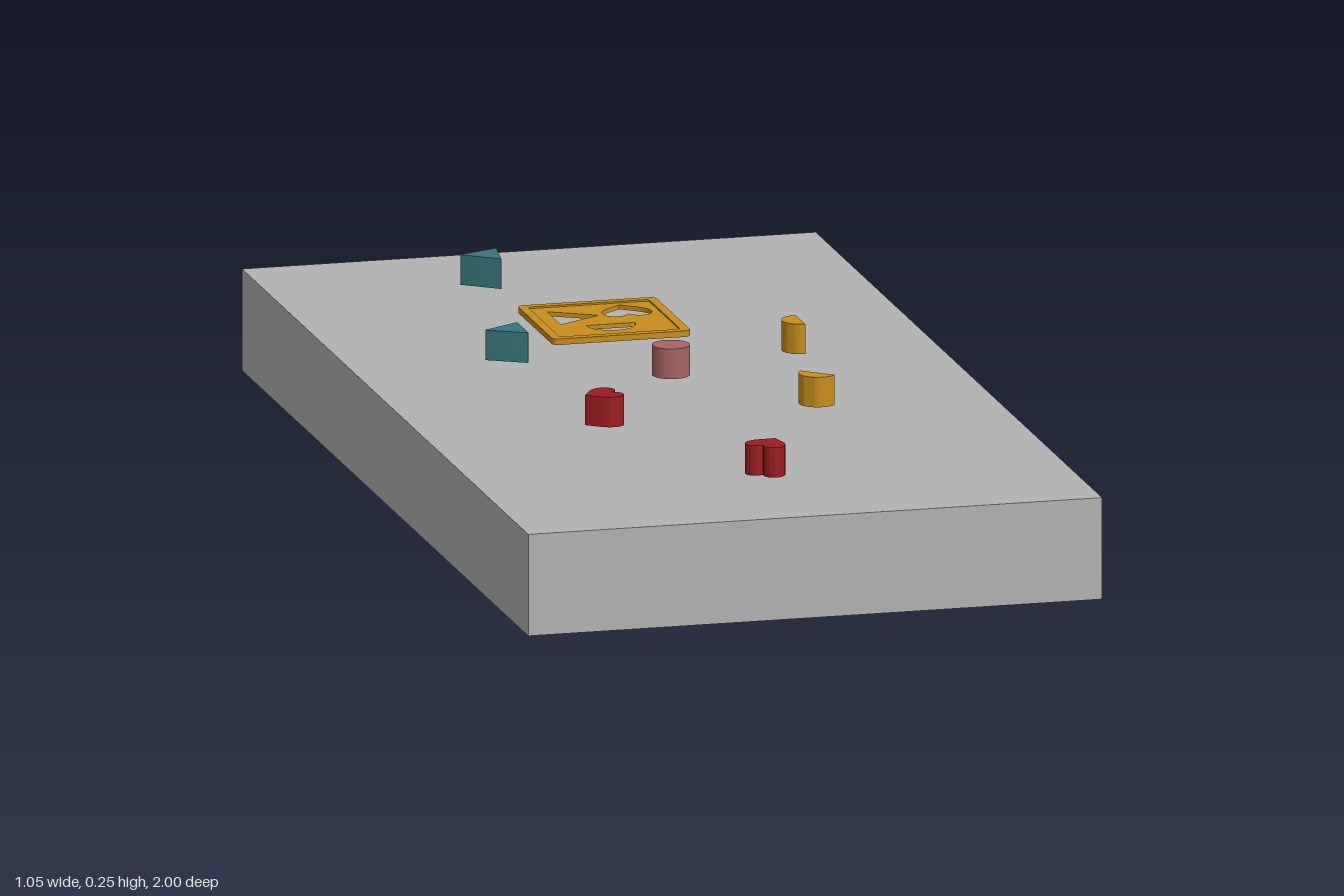
import * as THREE from 'three';
import { toCreasedNormals } from 'three/addons/utils/BufferGeometryUtils.js';

const mat = (name, color) => {
  const m = new THREE.MeshStandardMaterial({ color });
  m.name = name;
  return m;
};

// Outline from points, with each corner slightly rounded
function rounded(points, cut) {
  const s = new THREE.Path();
  const n = points.length;
  points.forEach((p, i) => {
    const toward = (q) => p.clone().add(q.clone().sub(p).setLength(cut));
    const a = toward(points[(i + n - 1) % n]);
    const b = toward(points[(i + 1) % n]);
    if (i === 0) s.moveTo(a.x, a.y); else s.lineTo(a.x, a.y);
    s.quadraticCurveTo(p.x, p.y, b.x, b.y);
  });
  s.closePath();
  return s.getPoints(4);
}

// Equilateral triangle pointing along +x
const triangle = (r) => rounded([0, 1, 2].map((i) => {
  const a = (i * Math.PI * 2) / 3;
  return new THREE.Vector2(r * Math.cos(a), r * Math.sin(a));
}), r * 0.08);

// Half disc, flat side on the y axis, bulging to -x
const halfDisc = (r) => Array.from({ length: 25 }, (_, i) => {
  const a = Math.PI / 2 + (i * Math.PI) / 24;
  return new THREE.Vector2(r * Math.cos(a), r * Math.sin(a));
});

// Heart with its tip at the origin and its lobes toward +x; w is its width
function heart(w) {
  const s = new THREE.Path();
  s.moveTo(0, 0);
  s.bezierCurveTo(0.2 * w, -0.22 * w, 0.34 * w, -0.5 * w, 0.62 * w, -0.5 * w);
  s.bezierCurveTo(0.95 * w, -0.5 * w, 0.98 * w, -0.08 * w, 0.72 * w, 0);
  s.bezierCurveTo(0.98 * w, 0.08 * w, 0.95 * w, 0.5 * w, 0.62 * w, 0.5 * w);
  s.bezierCurveTo(0.34 * w, 0.5 * w, 0.2 * w, 0.22 * w, 0, 0);
  return s.getPoints(10);
}

const rect = (w, d, cut) => rounded([[-1, -1], [1, -1], [1, 1], [-1, 1]]
  .map(([x, y]) => new THREE.Vector2((x * w) / 2, (y * d) / 2)), cut);

// Turn and shift an outline in plan
const place = (pts, x, z, angle) => pts.map((p) =>
  p.clone().rotateAround(new THREE.Vector2(), angle).add(new THREE.Vector2(x, -z)));

// Upright prism from a plan outline, with optional holes
function prism(points, height, holes = []) {
  const shape = new THREE.Shape(points);
  shape.holes = holes.map((h) => new THREE.Path(h));
  const g = new THREE.ExtrudeGeometry(shape, { depth: height, bevelEnabled: false });
  g.rotateX(-Math.PI / 2);
  return toCreasedNormals(g, 0.6);
}

export function createModel() {
  const root = new THREE.Group();
  root.name = 'shapeSortingTable';
  const grey = mat('table grey', 0xb2b2b2);
  const amber = mat('amber', 0xc88e1c);
  const teal = mat('teal', 0x37747a);
  const red = mat('red', 0x9c1c20);
  const pink = mat('dusty pink', 0xa86464);

  const add = (name, geometry, material, x, y, z, angle = 0, parent = root) => {
    const m = new THREE.Mesh(geometry, material);
    m.name = name;
    m.position.set(x, y, z);
    m.rotation.y = angle;
    parent.add(m);
    return m;
  };

  // Table slab
  add('tableTop', new THREE.BoxGeometry(1.054, 0.186, 2), grey, 0, 0.093, 0);

  // Sorting plate with three cut-outs and a raised rim
  const plate = new THREE.Group();
  plate.name = 'sortingPlate';
  plate.position.set(-0.016, 0.195, -0.413);
  root.add(plate);
  const holes = [
    place(triangle(0.055), -0.056, -0.034, 0),
    place(heart(0.09), 0.053, -0.098, -Math.PI / 2),
    place(halfDisc(0.045), 0.003, 0.033, Math.PI / 2),
  ];
  add('plateFloor', prism(rect(0.254, 0.254, 0.014), 0.008, holes), amber, 0, 0, 0, 0, plate);
  add('plateRim', prism(rect(0.254, 0.254, 0.014), 0.003, [rect(0.222, 0.222, 0.008)]),
    amber, 0, 0.008, 0, 0, plate);

  // Loose blocks
  const y = 0.191, h = 0.055;
  const triGeo = prism(triangle(0.047), h);
  const halfGeo = prism(halfDisc(0.034), h);
  const heartGeo = prism(heart(0.074), h);
  add('triangleBlockBack', triGeo, teal, -0.141, y, -0.765, 0.91);
  add('triangleBlockFront', triGeo, teal, -0.237, y, -0.229, Math.PI);
  add('halfDiscBlockBack', halfGeo, amber, 0.278, y, -0.16, 0);
  add('halfDiscBlockFront', halfGeo, amber, 0.208, y + 0.001, 0.226, 0.85);
  add('heartBlockBack', heartGeo, red, -0.232, y, 0.275, 0.2);
  add('heartBlockFront', heartGeo, red, 0.015, y, 0.664, -2.24);

  // Round block
  add('cylinderBlock', new THREE.CylinderGeometry(0.034, 0.034, h, 40), pink, 0.003, 0.225, -0.018);

  return root;
}
